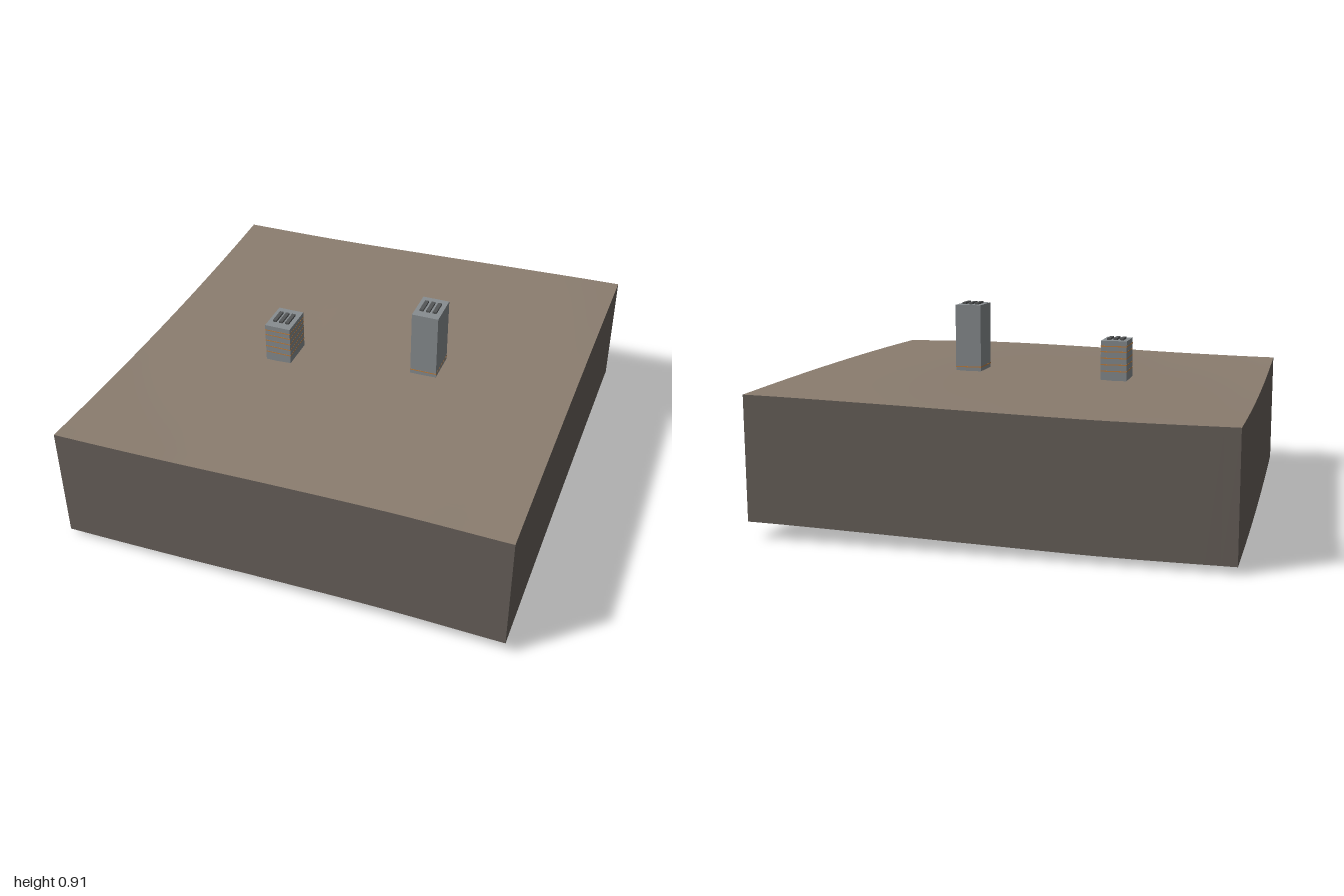
import * as THREE from 'three';

const mat = (name, color, side = THREE.FrontSide) => {
  const m = new THREE.MeshStandardMaterial({ color, side });
  m.name = name;
  return m;
};

// Ground heights along x (-1 to 1) for the back, middle and front rows
const rows = [
  [0.56, 0.562, 0.575, 0.59, 0.602],
  [0.53, 0.548, 0.575, 0.597, 0.606],
  [0.555, 0.565, 0.582, 0.593, 0.589],
].map((ys) => new THREE.SplineCurve(ys.map((y, i) => new THREE.Vector2(i / 2 - 1, y))));

function groundHeight(x, z) {
  const [back, mid, front] = rows.map((c) => c.getPoint((x + 1) / 2).y);
  return mid + z * (front - back) / 2 + z * z * ((front + back) / 2 - mid);
}

export function createModel() {
  const model = new THREE.Group();
  const earth = mat('earth brown', 0x8b7d6f, THREE.DoubleSide);
  const soil = mat('dark soil', 0x68615b, THREE.DoubleSide);
  const concrete = mat('concrete grey', 0x888d90);
  const vent = mat('vent grey', 0x555758);
  const orange = mat('band orange', 0xc08040);

  const add = (parent, name, geometry, material, x = 0, y = 0, z = 0) => {
    const mesh = new THREE.Mesh(geometry, material);
    mesh.name = name;
    mesh.position.set(x, y, z);
    parent.add(mesh);
    return mesh;
  };

  // Gently rolling ground
  const ground = new THREE.PlaneGeometry(2, 2, 32, 32).rotateX(-Math.PI / 2);
  const p = ground.attributes.position;
  for (let i = 0; i < p.count; i++) p.setY(i, groundHeight(p.getX(i), p.getZ(i)));
  ground.computeVertexNormals();
  add(model, 'ground', ground, earth);

  // Four skirt walls of constant depth, open underneath
  const depth = 0.53;
  for (let k = 0; k < 4; k++) {
    const wall = new THREE.PlaneGeometry(2, depth, 32, 1).translate(0, 0, 1).rotateY(k * Math.PI / 2);
    const w = wall.attributes.position;
    for (let i = 0; i < w.count; i++) {
      const h = groundHeight(w.getX(i), w.getZ(i));
      w.setY(i, w.getY(i) > 0 ? h : h - depth);
    }
    add(model, 'skirtWall', wall, soil);
  }

  // Tower block with roof vents and thin floor bands
  function addTower(name, x, z, top, bands) {
    const tower = new THREE.Group();
    tower.name = name;
    tower.position.set(x, 0, z);
    const W = 0.12, D = 0.16, base = groundHeight(x, z);
    add(tower, 'towerBody', new THREE.BoxGeometry(W, top - base, D), concrete, 0, (top + base) / 2, 0);
    for (const vx of [-0.03, 0, 0.03]) {
      add(tower, 'roofVent', new THREE.BoxGeometry(0.017, 0.01, 0.08), vent, vx, top + 0.004, 0);
    }
    for (const y of bands) {
      add(tower, 'floorBand', new THREE.BoxGeometry(W + 0.001, 0.005, D + 0.001), orange, 0, y, 0);
    }
    model.add(tower);
  }
  addTower('shortTower', -0.335, 0.082, 0.74, [0.6, 0.63, 0.66, 0.69, 0.715]);
  addTower('tallTower', 0.333, 0, 0.897, [0.61]);

  return model;
}
